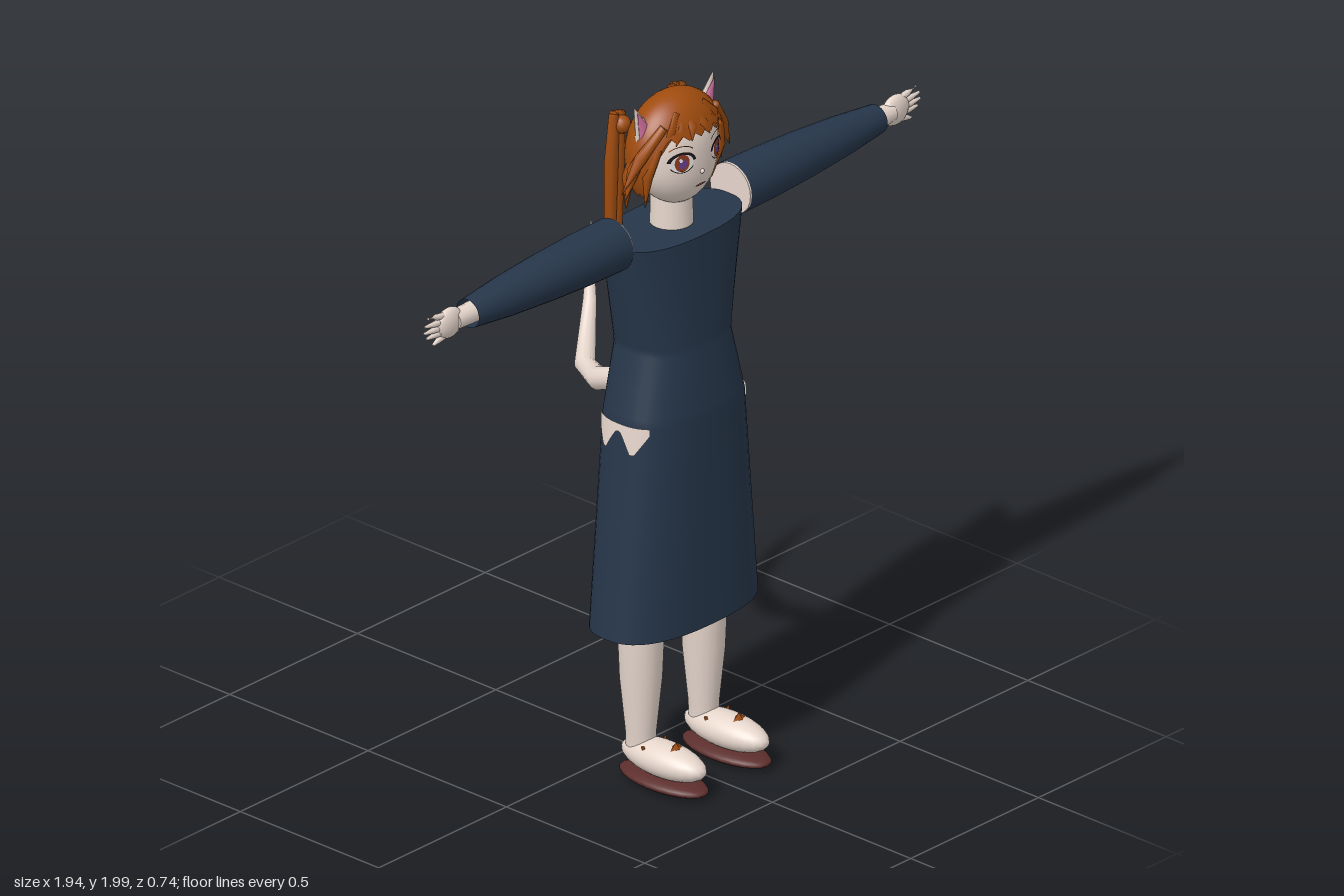
import * as THREE from 'three';
import { ParametricGeometry } from 'three/addons/geometries/ParametricGeometry.js';

const V = (x, y, z) => new THREE.Vector3(x, y, z);

function makeMaterials() {
  const colors = {
    skin: 0xe6d6cc, hair: 0xa04c0e, dress: 0x26364a, sole: 0x5c2e2c, pink: 0xd673a4,
    lash: 0x20161a, iris: 0x8a3c22, pupil: 0x6a3a8c, white: 0xf6f1ef, lips: 0x8c5050,
  };
  const mats = {};
  for (const name in colors) {
    mats[name] = new THREE.MeshStandardMaterial({ color: colors[name] });
    mats[name].name = name;
    if (['skin', 'hair', 'dress'].includes(name)) mats[name].side = THREE.DoubleSide;
  }
  return mats;
}

function add(parent, name, geo, mat, pos = [0, 0, 0], scale = [1, 1, 1], rot = [0, 0, 0]) {
  const m = new THREE.Mesh(geo, mat);
  m.name = name;
  m.position.set(...pos);
  m.scale.set(...scale);
  m.rotation.set(...rot);
  parent.add(m);
  return m;
}

// Tapered tube along a polyline; the ends close to a point
function taper(points, radii, sides = 10, flatZ = 1) {
  const pts = [points[0], ...points, points[points.length - 1]];
  const rs = [0, ...radii, 0];
  const pos = [], idx = [];
  pts.forEach((p, i) => {
    const k = Math.min(Math.max(i - 1, 0), points.length - 1);
    const t = points[Math.min(k + 1, points.length - 1)].clone().sub(points[Math.max(k - 1, 0)]).normalize();
    const a = V(1, 0, 0).addScaledVector(t, -t.x);
    if (a.length() < 0.2) a.set(0, 1, 0).addScaledVector(t, -t.y);
    a.normalize();
    const b = t.clone().cross(a);
    for (let j = 0; j < sides; j++) {
      const w = (j / sides) * Math.PI * 2;
      const q = p.clone().addScaledVector(a, Math.cos(w) * rs[i]).addScaledVector(b, Math.sin(w) * rs[i] * flatZ);
      pos.push(q.x, q.y, q.z);
      if (i) {
        const n = (j + 1) % sides, r0 = (i - 1) * sides, r1 = i * sides;
        idx.push(r0 + j, r0 + n, r1 + j, r0 + n, r1 + n, r1 + j);
      }
    }
  });
  const g = new THREE.BufferGeometry();
  g.setAttribute('position', new THREE.Float32BufferAttribute(pos, 3));
  g.setIndex(idx);
  g.computeVertexNormals();
  return g;
}

// Dress sections: height, half width, half depth, centre z
const SECTIONS = [[0.46, 0.27, 0.146, 0.143], [1.08, 0.212, 0.14, 0.143], [1.18, 0.188, 0.132, 0.141],
  [1.27, 0.167, 0.124, 0.139], [1.4, 0.19, 0.123, 0.137], [1.6, 0.226, 0.122, 0.135]];
function dressPoint(angle, y, offset, target) {
  let i = 0;
  while (i < SECTIONS.length - 2 && y > SECTIONS[i + 1][0]) i++;
  const a = SECTIONS[i], b = SECTIONS[i + 1], t = (y - a[0]) / (b[0] - a[0]);
  const [rx, rz, cz] = [1, 2, 3].map((k) => a[k] + (b[k] - a[k]) * t);
  const p = (v) => Math.sign(v) * Math.abs(v) ** 0.8;
  return target.set(p(Math.cos(angle)) * (rx + offset), y, cz + p(Math.sin(angle)) * (rz + offset));
}

// Head: egg shape narrowing to the chin
const HEAD = { y: 1.82, z: 0.15, rx: 0.132, ry: 0.152, rz: 0.097 };
const ring = (t, n) => Math.sqrt(Math.max(0, 1 - Math.abs(t) ** n));
const headWidth = (t) => HEAD.rx * (t < 0 ? 1 - 0.22 * t * t : 1);
function faceZ(x, y) {
  const t = (y - HEAD.y) / HEAD.ry, f = ring(t, 2.6), u = x / headWidth(t);
  return HEAD.z + HEAD.rz * Math.sqrt(Math.max(0, f * f - u * u));
}
// Lay a flat shape on the face
function onFace(geo, x, y, sx, sy, lift) {
  geo.scale(sx, sy, 1).translate(x, y, 0);
  const p = geo.attributes.position;
  for (let i = 0; i < p.count; i++) p.setZ(i, faceZ(p.getX(i), p.getY(i)) + lift);
  geo.computeVertexNormals();
  return geo;
}

function buildHead(root, M) {
  const head = new THREE.Group();
  head.name = 'head';
  root.add(head);
  add(head, 'face', new ParametricGeometry((u, v, o) => {
    const t = -Math.cos(v * Math.PI), f = ring(t, 2.6), a = -u * Math.PI * 2;
    o.set(Math.cos(a) * f * headWidth(t), HEAD.y + t * HEAD.ry, HEAD.z + Math.sin(a) * f * HEAD.rz);
  }, 32, 24), M.skin);
  add(head, 'neck', new THREE.CylinderGeometry(0.056, 0.06, 0.16, 20), M.skin, [0, 1.65, 0.135]);
  add(head, 'nose', new THREE.SphereGeometry(0.007, 8, 6), M.skin, [0, 1.783, faceZ(0, 1.783)]);
  add(head, 'mouth', onFace(new THREE.CircleGeometry(1, 12), 0, 1.743, 0.02, 0.004, 0.003), M.lips);

  // Hair cap with a jagged lower edge: high over the face, low at the back
  add(head, 'hairCap', new ParametricGeometry((u, v, o) => {
    const a = u * Math.PI * 2, front = Math.sin(a);
    const saw = Math.abs(((u * 22) % 1) - 0.5) * 0.03;
    const open = THREE.MathUtils.smoothstep(front, 0.1, 0.75);
    const edge = THREE.MathUtils.lerp(1.715, 1.885, open) + saw;
    const low = Math.acos((edge - 1.82) / 0.17);
    const t = Math.cos(v * low), f = ring(t, 2.2);
    o.set(Math.cos(a) * f * 0.158, 1.82 + t * 0.17, 0.145 + front * f * 0.106);
  }, 88, 14), M.hair);

  for (const s of [-1, 1]) {
    // Eye layers
    const disc = () => new THREE.CircleGeometry(1, 20);
    const x = s * 0.067, y = 1.826;
    add(head, 'eyeWhite', onFace(disc(), x, y, 0.033, 0.026, 0.002), M.white);
    add(head, 'iris', onFace(disc(), x, y, 0.02, 0.025, 0.004), M.iris);
    add(head, 'pupil', onFace(disc(), x, y - 0.002, 0.011, 0.014, 0.006), M.pupil);
    add(head, 'eyeGlint', onFace(disc(), x - 0.007, y + 0.01, 0.005, 0.006, 0.008), M.white);
    add(head, 'upperLash', onFace(new THREE.RingGeometry(0.82, 1.05, 16, 1, 0.15, 2.84), x, y, 0.037, 0.031, 0.006), M.lash);
    add(head, 'lowerLash', onFace(new THREE.RingGeometry(0.94, 1.02, 16, 1, 3.6, 2.2), x, y, 0.034, 0.028, 0.005), M.lash);
    add(head, 'eyebrow', onFace(new THREE.RingGeometry(0.95, 1.05, 12, 1, 0.5, 2.1), x, 1.852, 0.036, 0.022, 0.004), M.hair);

    // Animal ear with pink inside
    add(head, 'ear', new THREE.ConeGeometry(0.04, 0.125, 12), M.skin, [s * 0.132, 1.935, 0.143], [1, 1, 0.45], [0, 0, -s * 0.4]);
    add(head, 'innerEar', new THREE.ConeGeometry(0.03, 0.1, 12), M.pink, [s * 0.132, 1.932, 0.152], [1, 1, 0.45], [0, 0, -s * 0.4]);

    // Side locks and flicked wisps
    const locks = [
      [[0.1, 1.93, 0.2], [0.158, 1.85, 0.17], [0.212, 1.755, 0.15], 0.018],
      [[0.11, 1.9, 0.17], [0.165, 1.81, 0.15], [0.19, 1.72, 0.14], 0.018],
      [[0.12, 1.87, 0.2], [0.142, 1.79, 0.18], [0.13, 1.69, 0.16], 0.014],
      [[0.12, 1.87, 0.13], [0.152, 1.78, 0.12], [0.15, 1.68, 0.11], 0.018],
    ];
    for (const [a, b, c, r] of locks)
      add(head, 'sideLock', taper([a, b, c].map((p) => V(s * p[0], p[1], p[2])), [r * 0.7, r, 0.001], 8), M.hair);

    // Fringe
    for (const [x0, x1, drop] of [[0.02, 0.035, 1.882], [0.05, 0.08, 1.876], [0.08, 0.115, 1.85]])
      add(head, 'fringe', taper([V(s * x0 * 0.6, 1.955, 0.2), V(s * x0, 1.915, 0.236 - x0 * 0.3),
        V(s * x1, drop, faceZ(x1, drop) + 0.004)], [0.012, 0.018, 0.001], 8, 0.5), M.hair);

    // Long bunch of hair hanging behind
    for (const [dx, z, end] of [[-0.012, 0.045, 1.5], [0.003, 0.038, 1.41], [0.016, 0.048, 1.55]])
      add(head, 'bunch', taper([V(s * (0.115 + dx), 1.93, z), V(s * (0.125 + dx), 1.8, z), V(s * (0.13 + dx), 1.6, z),
        V(s * (0.128 + dx * 0.5), end, z - 0.01)], [0.014, 0.019, 0.016, 0.002], 8), M.hair);
    add(head, 'bunchTie', new THREE.SphereGeometry(0.026, 12, 8), M.hair, [s * 0.112, 1.9, 0.058]);
  }
}

function buildArm(root, M, s) {
  const arm = new THREE.Group();
  arm.name = s > 0 ? 'leftArm' : 'rightArm';
  arm.position.set(0, 1.613, 0.137);
  arm.scale.x = s;
  root.add(arm);
  const profile = [[0.075, 0.232], [0.073, 0.36], [0.067, 0.5], [0.056, 0.66], [0.041, 0.8]];
  const sleeve = new THREE.LatheGeometry(profile.map((p) => new THREE.Vector2(...p)), 24).rotateZ(-Math.PI / 2);
  add(arm, 'sleeve', sleeve, M.dress);
  add(arm, 'shoulder', new THREE.CylinderGeometry(0.073, 0.073, 0.008, 24), M.skin, [0.232, 0, 0], [1, 1, 1], [0, 0, Math.PI / 2]);
  add(arm, 'wrist', new THREE.CylinderGeometry(0.027, 0.03, 0.08, 14), M.skin, [0.815, 0, 0], [1, 1, 1], [0, 0, -Math.PI / 2]);
  add(arm, 'palm', new THREE.SphereGeometry(1, 16, 12), M.skin, [0.873, 0, 0], [0.05, 0.044, 0.021]);
  // Four fingers and the thumb
  for (const [y0, x1, y1] of [[0.026, 0.955, 0.04], [0.011, 0.967, 0.019], [-0.004, 0.97, 0], [-0.018, 0.96, -0.018], [-0.028, 0.935, -0.045]])
    add(arm, 'finger', taper([V(0.875, y0, 0), V((0.89 + x1) / 2, (y0 + y1) / 2, 0), V(x1, y1, 0)], [0.009, 0.009, 0.004], 8), M.skin);
}

function buildLeg(root, M, s) {
  const leg = new THREE.Group();
  leg.name = s > 0 ? 'leftLeg' : 'rightLeg';
  leg.position.set(s * 0.123, 0, 0);
  root.add(leg);
  const profile = [[0.041, 0.1], [0.042, 0.14], [0.058, 0.3], [0.064, 0.45], [0.072, 0.7], [0.08, 1.0]];
  add(leg, 'shin', new THREE.LatheGeometry(profile.map((p) => new THREE.Vector2(...p)), 20), M.skin, [0, 0, 0.138]);
  add(leg, 'slipper', new THREE.SphereGeometry(1, 24, 16), M.skin, [0, 0.081, 0.222], [0.06, 0.048, 0.145]);
  add(leg, 'sole', new THREE.SphereGeometry(1, 24, 12), M.sole, [0, 0.022, 0.222], [0.068, 0.022, 0.15]);
  // Small trims on the slipper
  add(leg, 'slipperTrim', new THREE.ConeGeometry(0.034, 0.03, 4), M.hair, [0, 0.128, 0.265], [1, 1, 0.7]);
  for (const k of [-1, 1])
    add(leg, 'slipperSpot', new THREE.ConeGeometry(0.013, 0.03, 4), M.hair, [k * 0.04, 0.112, 0.185], [1, 1, 1.3], [0, 0, -k * 0.8]);
}

export function createModel() {
  const root = new THREE.Group();
  root.name = 'figure';
  const M = makeMaterials();

  // Dress, with a flat yoke up to the neck
  add(root, 'dress', new ParametricGeometry((u, v, o) => dressPoint(-u * Math.PI * 2, 0.46 + v * 1.14, 0, o), 40, 48), M.dress);
  add(root, 'yoke', new ParametricGeometry((u, v, o) => {
    dressPoint(-u * Math.PI * 2, 1.6, 0, o);
    const k = 1 - v * 0.75;
    o.set(o.x * k, 1.6, 0.135 + (o.z - 0.135) * k);
  }, 40, 2), M.dress);

  // Toothed hip openings showing skin
  const teeth = [[-33, 1.06], [-17, 1.0], [-12, 1.0], [-1, 1.058], [1, 1.058], [12, 1.0], [17, 1.0], [33, 1.06]];
  for (const s of [0, 1]) {
    add(root, s ? 'rightHip' : 'leftHip', new ParametricGeometry((u, v, o) => {
      const deg = -33 + u * 66;
      let i = 0;
      while (i < teeth.length - 2 && deg > teeth[i + 1][0]) i++;
      const [a, b] = [teeth[i], teeth[i + 1]];
      const low = THREE.MathUtils.lerp(a[1], b[1], (deg - a[0]) / (b[0] - a[0]));
      dressPoint(deg * Math.PI / 180, low + (1.08 - low) * v, 0.004, o);
      if (s) o.x = -o.x;
    }, 44, 3), M.skin);
  }

  buildHead(root, M);
  for (const s of [-1, 1]) {
    buildArm(root, M, s);
    buildLeg(root, M, s);
  }

  // Crooked tail
  add(root, 'tail', taper([V(0, 1.1, 0.03), V(0, 1.045, -0.13), V(0.1, 1.005, -0.27), V(0.205, 1.13, -0.35), V(0.228, 1.35, -0.366)],
    [0.032, 0.032, 0.029, 0.019, 0.002], 12), M.skin);
  return root;
}
